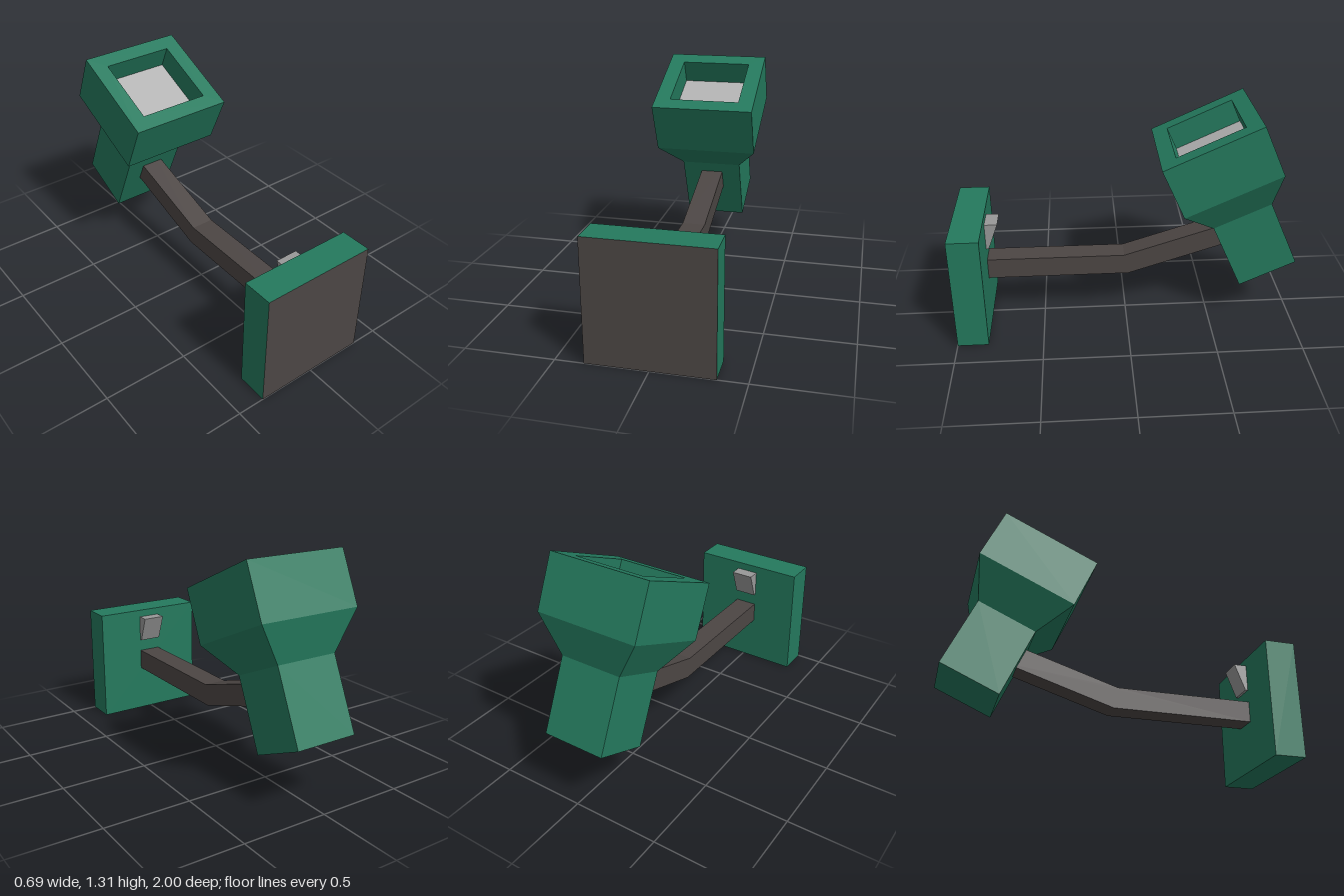
import * as THREE from 'three';

const material = (name, color) => {
  const m = new THREE.MeshStandardMaterial({ color });
  m.name = name;
  return m;
};

export function createModel() {
  const green = material('green', 0x24795d);
  const dark = material('dark brown grey', 0x4c4644);
  const grey = material('mid grey', 0x989898);
  const light = material('light grey', 0xb2b2b2);

  const model = new THREE.Group();
  model.name = 'wallLamp';

  const add = (name, geometry, mat, parent = model) => {
    const mesh = new THREE.Mesh(geometry, mat);
    mesh.name = name;
    parent.add(mesh);
    return mesh;
  };

  // Side outline given as [z, y] points, extruded across x
  const sideExtrude = (points, width) => {
    const shape = new THREE.Shape(points.map(([z, y]) => new THREE.Vector2(z, y)));
    const g = new THREE.ExtrudeGeometry(shape, { depth: width, bevelEnabled: false });
    return g.translate(0, 0, -width / 2).rotateY(-Math.PI / 2);
  };

  // Mounting plate: green with a dark front face (+z)
  const plate = add('mountingPlate', new THREE.BoxGeometry(0.685, 0.69, 0.18),
    [green, green, green, green, dark, green]);
  plate.position.set(0, 0.345, 0.91);

  // Bent arm, ending inside the head
  add('arm', sideExtrude([
    [0.82, 0.285], [0.82, 0.41], [0.01, 0.41],
    [-0.65, 0.618], [-0.65, 0.487], [-0.015, 0.285],
  ], 0.135), dark);

  // Small wedge above the arm
  add('wedge', sideExtrude([
    [0.82, 0.485], [0.82, 0.645], [0.745, 0.645], [0.805, 0.485],
  ], 0.135), grey);

  // Tilted head: local y runs along its axis
  const head = new THREE.Group();
  head.name = 'head';
  head.position.set(0, 0.3225, -0.835);
  head.rotation.x = 0.4223;
  model.add(head);

  // Square housing from [half width, height] rings, with a recess in the top
  const profile = [
    [0, 0], [0.184, 0], [0.184, 0.428], [0.304, 0.63],
    [0.304, 0.946], [0.21, 0.946], [0.21, 0.803],
  ].map(([r, y]) => new THREE.Vector2(r * Math.SQRT2, y));
  const housing = new THREE.LatheGeometry(profile, 4, Math.PI / 4).toNonIndexed();
  housing.scale(1, 1, 0.97);
  housing.computeVertexNormals();
  add('housing', housing, green, head);

  // Light panel at the bottom of the recess
  const panel = add('lightPanel', new THREE.PlaneGeometry(0.42, 0.4074), light, head);
  panel.rotation.x = -Math.PI / 2;
  panel.position.y = 0.803;

  return model;
}
